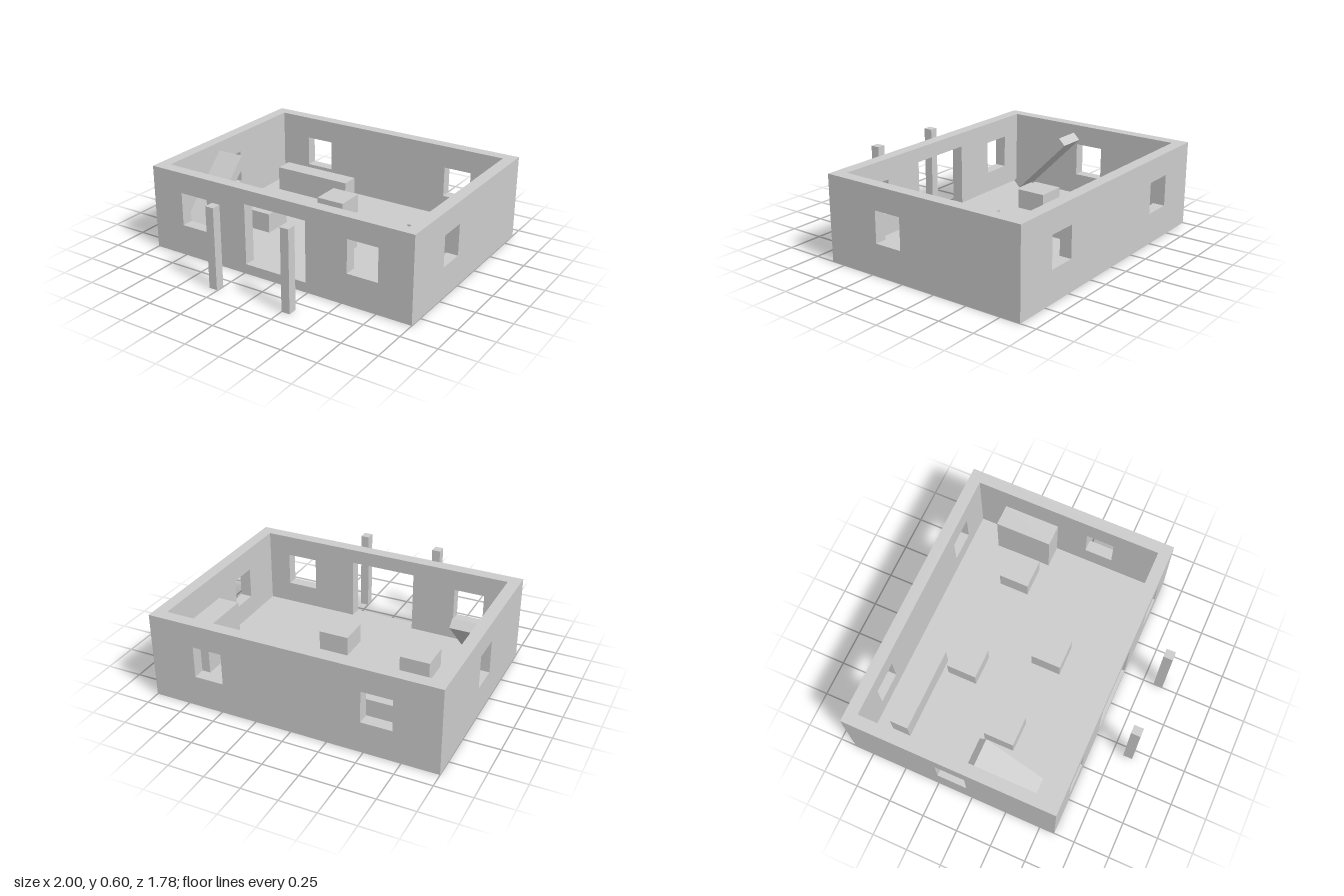
import * as THREE from 'three';

const HEIGHT = 0.6;
const BACK = -0.89, FRONT = 0.605, WALL = 0.083;
const FLOOR = 0.07;

export function createModel() {
  const model = new THREE.Group();
  model.name = 'house';
  const plaster = new THREE.MeshStandardMaterial({ color: 0xcccccc });
  plaster.name = 'light grey';

  function add(name, geometry, x, y, z) {
    const mesh = new THREE.Mesh(geometry, plaster);
    mesh.name = name;
    mesh.position.set(x, y, z);
    model.add(mesh);
    return mesh;
  }

  // Box given by its extents on each axis
  function block(name, [x0, x1], [y0, y1], [z0, z1]) {
    return add(name, new THREE.BoxGeometry(x1 - x0, y1 - y0, z1 - z0),
      (x0 + x1) / 2, (y0 + y1) / 2, (z0 + z1) / 2);
  }

  // Upright wall panel with rectangular openings [u0, u1, y0, y1]
  function wallPanel(u0, u1, openings) {
    const shape = new THREE.Shape([
      new THREE.Vector2(u0, 0), new THREE.Vector2(u1, 0),
      new THREE.Vector2(u1, HEIGHT), new THREE.Vector2(u0, HEIGHT),
    ]);
    for (const [a, b, y0, y1] of openings) {
      shape.holes.push(new THREE.Path([
        new THREE.Vector2(a, y0), new THREE.Vector2(a, y1),
        new THREE.Vector2(b, y1), new THREE.Vector2(b, y0),
      ]));
    }
    return new THREE.ExtrudeGeometry(shape, { depth: WALL, bevelEnabled: false });
  }

  // Front wall with doorway and two windows, back wall with two windows
  add('frontWall', wallPanel(-1, 1, [
    [-0.76, -0.545, 0.22, 0.455], [-0.235, 0.235, FLOOR, 0.5], [0.54, 0.76, 0.22, 0.455],
  ]), 0, 0, FRONT - WALL);
  add('backWall', wallPanel(-1, 1, [
    [-0.69, -0.48, 0.22, 0.44], [0.48, 0.685, 0.22, 0.44],
  ]), 0, 0, BACK);

  // Side walls, one window each
  const z0 = BACK + WALL, z1 = FRONT - WALL;
  add('leftWall', wallPanel(z0, z1, [[0.01, 0.21, 0.22, 0.44]]), 1, 0, 0)
    .rotation.y = -Math.PI / 2;
  add('rightWall', wallPanel(z0, z1, [[-0.24, -0.03, 0.22, 0.455]]), -1 + WALL, 0, 0)
    .rotation.y = -Math.PI / 2;

  block('floor', [-1 + WALL, 1 - WALL], [0, FLOOR], [z0, z1]);

  // Porch posts
  for (const x of [-0.285, 0.28]) {
    block('porchPost', [x - 0.03, x + 0.03], [0, 0.57], [0.825, 0.89]);
  }

  // Furniture
  block('counter', [-0.8, -0.2], [FLOOR, 0.25], [-0.69, -0.56]);
  block('cabinet', [0.763, 1 - WALL], [FLOOR, 0.41], [-0.61, -0.21]);
  for (const [x, z] of [[-0.17, -0.413], [0.597, -0.363], [-0.503, 0.022], [0.13, 0.09]]) {
    block('table', [x - 0.107, x + 0.107], [FLOOR, 0.21], [z - 0.107, z + 0.107]);
  }

  // Slab leaning at 45 degrees against the right wall
  add('leaningSlab', new THREE.BoxGeometry(0.2, 0.068, 0.566), -0.818, 0.315, 0.175)
    .rotation.x = Math.PI / 4;

  return model;
}
